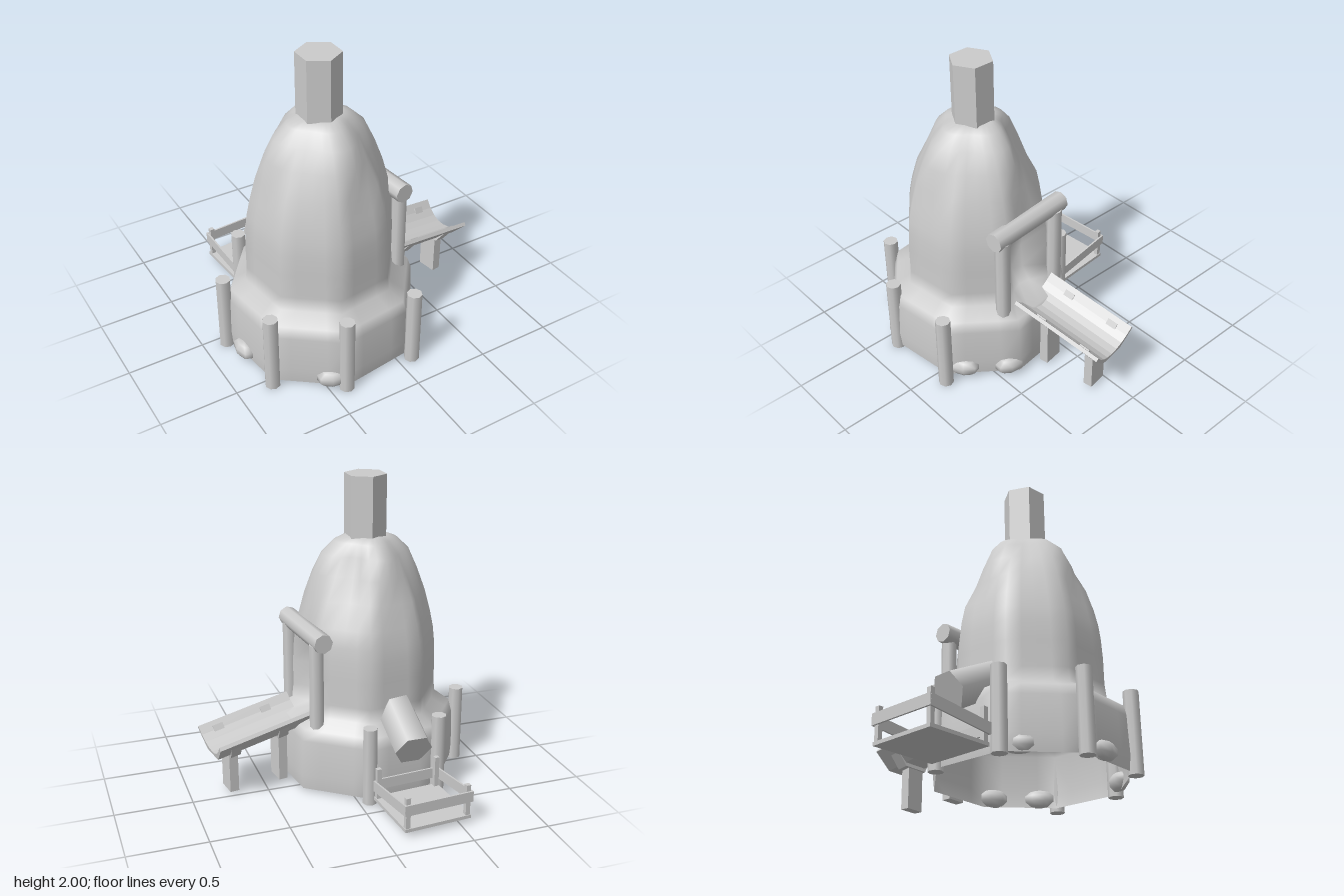
import * as THREE from 'three';

const grey = new THREE.MeshStandardMaterial({ color: 0xcccccc });
const flat = new THREE.MeshStandardMaterial({ color: 0xcccccc, flatShading: true });
const shell = new THREE.MeshStandardMaterial({ color: 0xcccccc, side: THREE.DoubleSide });
const CX = -0.24, CZ = 0.22; // furnace axis
const DEG = Math.PI / 180;

function add(parent, name, geometry, material, x = 0, y = 0, z = 0) {
  const m = new THREE.Mesh(geometry, material);
  m.name = name;
  m.position.set(x, y, z);
  parent.add(m);
  return m;
}

// Cylinder running between two points
function log(parent, name, a, b, r, sides = 8, material = grey) {
  const p = new THREE.Vector3(...a), q = new THREE.Vector3(...b);
  const d = q.clone().sub(p);
  const m = add(parent, name, new THREE.CylinderGeometry(r, r, d.length(), sides), material);
  m.position.copy(p).add(q).multiplyScalar(0.5);
  m.quaternion.setFromUnitVectors(new THREE.Vector3(0, 1, 0), d.normalize());
  return m;
}

// Octagonal clay body: rings of [height, corner radius, depth of the mouth recess]
function bodyGeometry() {
  const rings = [
    [0.02, 0.61, 0], [0.12, 0.62, 0], [0.36, 0.61, 0], [0.43, 0.585, 0], [0.485, 0.485, 0.08],
    [0.58, 0.475, 0.13], [0.75, 0.475, 0.14], [0.88, 0.468, 0.11], [0.97, 0.458, 0.02], [1.08, 0.435, 0],
    [1.23, 0.395, 0], [1.38, 0.34, 0], [1.5, 0.28, 0], [1.58, 0.2, 0], [1.61, 0.13, 0], [1.6, 0.001, 0]];
  const N = 32, pos = [], idx = [];
  rings.forEach(([y, r, recess], k) => {
    for (let i = 0; i < N; i++) {
      const step = i % 4;
      const a = (15 + i * 360 / N) * DEG;
      // straight octagon sides low down, becoming a soft square near the top
      let rad = r * Math.cos(22.5 * DEG) / Math.cos((step * 11.25 - 22.5) * DEG);
      const top = THREE.MathUtils.smoothstep(y, 1.15, 1.5);
      rad = THREE.MathUtils.lerp(rad, r * (0.95 + 0.1 * Math.cos(4 * a)), top);
      // hollow high on the back corner
      const off = (a / DEG - 305) / 30;
      if (y > 1.2 && y < 1.55) rad -= 0.05 * Math.exp(-off * off);
      // mouth in the side between the last corner and the first
      if (i > 28) rad -= recess * (step === 2 ? 1.1 : 0.85);
      pos.push(CX + rad * Math.cos(a), y, CZ + rad * Math.sin(a));
      if (k < rings.length - 1) {
        const p = k * N + i, q = k * N + (i + 1) % N;
        idx.push(p, p + N, q, q, p + N, q + N);
      }
    }
  });
  const g = new THREE.BufferGeometry();
  g.setAttribute('position', new THREE.Float32BufferAttribute(pos, 3));
  g.setIndex(idx);
  g.computeVertexNormals();
  return g;
}

// Open channel with sloping sides, extruded along z
function channel(length, w, t) {
  const s = new THREE.Shape();
  s.moveTo(-w, 0.11);
  s.lineTo(-0.09, 0);
  s.lineTo(0.09, 0);
  s.lineTo(w, 0.11);
  s.lineTo(w - 0.015, 0.11 + t);
  s.quadraticCurveTo(0.1, t, 0, t);
  s.quadraticCurveTo(-0.1, t, -w + 0.015, 0.11 + t);
  s.closePath();
  return new THREE.ExtrudeGeometry(s, { depth: length, bevelEnabled: false, curveSegments: 4 });
}

export function createModel() {
  const model = new THREE.Group();
  model.name = 'furnace';

  add(model, 'clayBody', bodyGeometry(), shell);
  add(model, 'chimney', new THREE.CylinderGeometry(0.137, 0.137, 0.42, 6), flat, CX, 1.79, CZ);

  // Posts around the base
  const posts = [[-0.555, -0.32], [-0.07, -0.365], [-0.85, 0.06], [-0.775, 0.545], [-0.395, 0.8], [0.095, 0.785]];
  posts.forEach(([x, z]) => log(model, 'basePost', [x, 0, z], [x, 0.52, z], 0.048));

  // Low lumps at the foot of the wall
  const lumps = [[0.31, 0.43], [0.13, 0.66], [-0.47, 0.75], [-0.815, 0.24], [-0.59, -0.2]];
  lumps.forEach(([x, z]) => {
    const m = add(model, 'footLump', new THREE.SphereGeometry(1, 7, 5), grey, x, 0.075, z);
    m.scale.set(0.055, 0.06, 0.1);
    m.rotation.y = Math.atan2(x - CX, z - CZ) + Math.PI / 2;
  });

  // Timber frame in front of the mouth
  const gate = new THREE.Group();
  gate.name = 'mouthFrame';
  model.add(gate);
  log(gate, 'framePost', [0.222, 0.42, 0.4], [0.222, 1.0, 0.4], 0.048);
  log(gate, 'framePost', [0.185, 0.42, -0.065], [0.185, 1.0, -0.065], 0.048);
  log(gate, 'lintel', [0.16, 1.025, -0.14], [0.217, 1.025, 0.465], 0.063);

  // Sloping chute with two bracketed legs
  const chute = new THREE.Group();
  chute.name = 'chute';
  chute.position.set(0.22, 0.405, 0.16);
  chute.rotation.set(0.18, 1.732, 0, 'YXZ');
  model.add(chute);
  add(chute, 'trough', channel(0.645, 0.195, 0.02), flat);
  [0.15, 0.49].forEach(d => add(chute, 'bracket', channel(0.07, 0.165, 0.025), flat, 0, -0.025, d));
  [[0.385, 0.145, 0.36], [0.73, 0.085, 0.29]].forEach(([x, z, top]) => {
    const leg = add(model, 'chuteLeg', new THREE.BoxGeometry(0.06, top - 0.02, 0.13), flat, x, (top + 0.02) / 2, z);
    leg.rotation.y = 0.16;
  });

  // Slanted spout at the back
  const spout = log(model, 'spout', [-0.31, 0.55, -0.14], [-0.315, 0.385, -0.485], 0.125, 6);
  spout.rotateY(Math.PI / 2);

  // Fenced tray below the spout
  const tray = new THREE.Group();
  tray.name = 'tray';
  tray.position.set(-0.325, 0, -0.608);
  tray.rotation.y = 0.08;
  model.add(tray);
  add(tray, 'trayFloor', new THREE.BoxGeometry(0.45, 0.022, 0.44), flat, 0, 0.047, 0);
  for (const sx of [-1, 1]) {
    for (const sz of [-1, 1])
      add(tray, 'trayPost', new THREE.BoxGeometry(0.03, 0.225, 0.03), flat, sx * 0.205, 0.15, sz * 0.2);
    const rail = add(tray, 'sideRail', new THREE.BoxGeometry(0.012, 0.07, 0.45), flat, sx * 0.227, 0.162, 0);
    rail.rotation.x = 0.11;
  }
  add(tray, 'backRail', new THREE.BoxGeometry(0.465, 0.07, 0.012), flat, 0, 0.187, -0.222);
  add(tray, 'frontRail', new THREE.BoxGeometry(0.465, 0.07, 0.012), flat, 0, 0.14, 0.222);

  return model;
}
